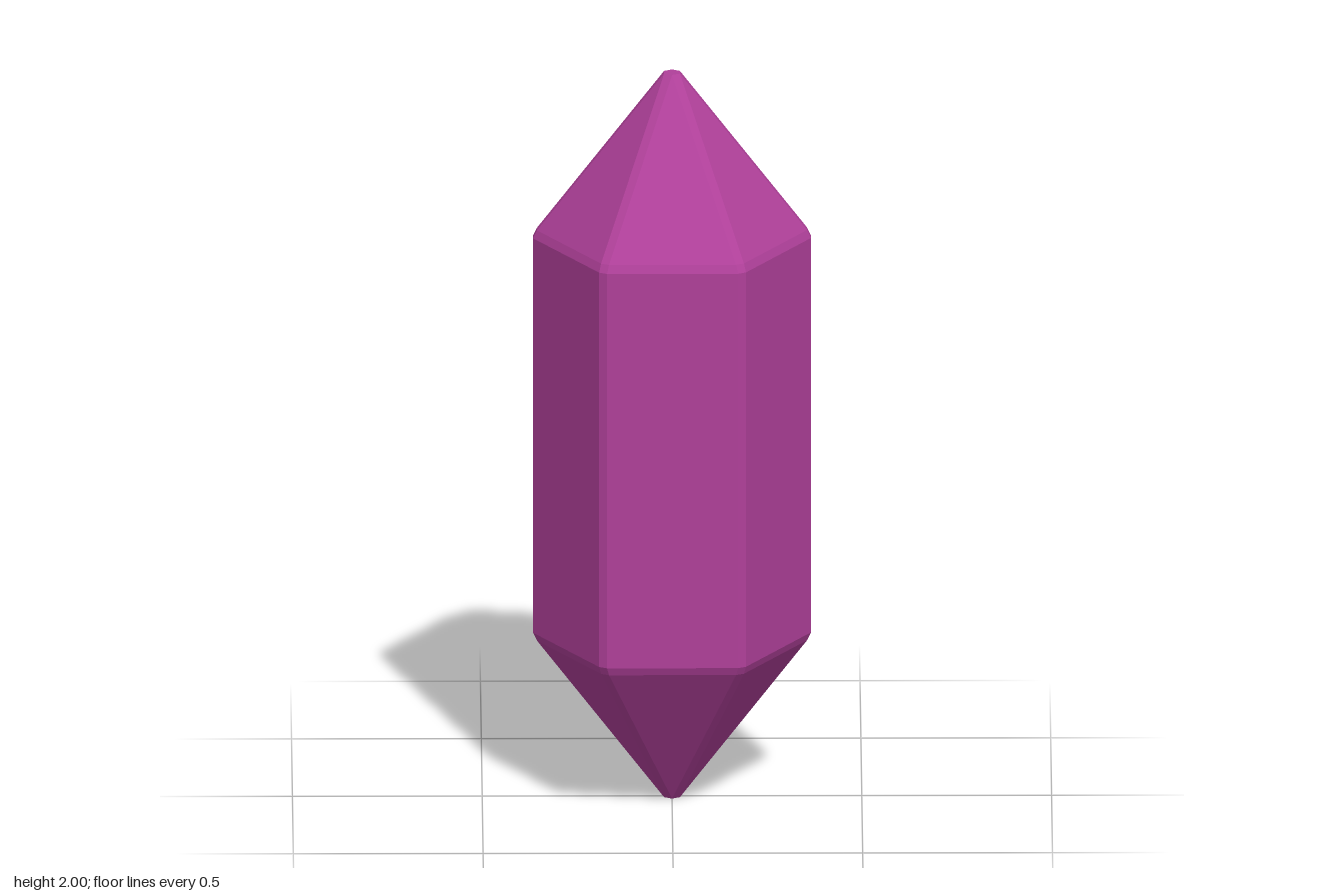
import * as THREE from 'three';

const SIDES = 6;
const BEVEL = 0.012; // half width of the chamfer along every ridge

// Rings from bottom to top: [height, distance of the flat sides from the axis]
const upper = [[1.545, 0.323], [1.567, 0.314], [2, 0.024]];
const rings = [...upper.map(([y, d]) => [2 - y, d]).reverse(), ...upper];

// Hexagon with cut corners: two points for each flat side
function ringPoints([y, d]) {
  const half = Math.max(0, (d * 0.5 - BEVEL) / Math.cos(Math.PI / 6));
  const points = [];
  for (let k = 0; k < SIDES; k++) {
    const a = (k / SIDES) * Math.PI * 2;
    for (const u of [-half, half]) {
      points.push(new THREE.Vector3(
        u * Math.cos(a) + d * Math.sin(a), y, -u * Math.sin(a) + d * Math.cos(a)));
    }
  }
  return points;
}

function crystalGeometry() {
  const positions = [];
  const triangle = (a, b, c) => {
    const area = b.clone().sub(a).cross(c.clone().sub(a)).length();
    if (area < 1e-9) return; // faces that close to a point at the tips
    for (const p of [a, b, c]) positions.push(p.x, p.y, p.z);
  };
  const loops = rings.map(ringPoints);
  const n = SIDES * 2;
  const bottom = new THREE.Vector3(0, 0, 0);
  const top = new THREE.Vector3(0, 2, 0);
  for (let i = 0; i < n; i++) {
    const j = (i + 1) % n;
    // walls, slopes and chamfers
    for (let r = 0; r < loops.length - 1; r++) {
      const lo = loops[r], hi = loops[r + 1];
      triangle(lo[i], lo[j], hi[j]);
      triangle(lo[i], hi[j], hi[i]);
    }
    // small flat tips
    triangle(bottom, loops[0][j], loops[0][i]);
    triangle(top, loops.at(-1)[i], loops.at(-1)[j]);
  }
  const geometry = new THREE.BufferGeometry();
  geometry.setAttribute('position', new THREE.Float32BufferAttribute(positions, 3));
  geometry.computeVertexNormals(); // unshared corners keep each facet flat
  return geometry;
}

export function createModel() {
  const group = new THREE.Group();
  group.name = 'crystal';
  const material = new THREE.MeshStandardMaterial({ color: 0xb0409a });
  material.name = 'magenta';
  const crystal = new THREE.Mesh(crystalGeometry(), material);
  crystal.name = 'crystalBody';
  group.add(crystal);
  return group;
}
